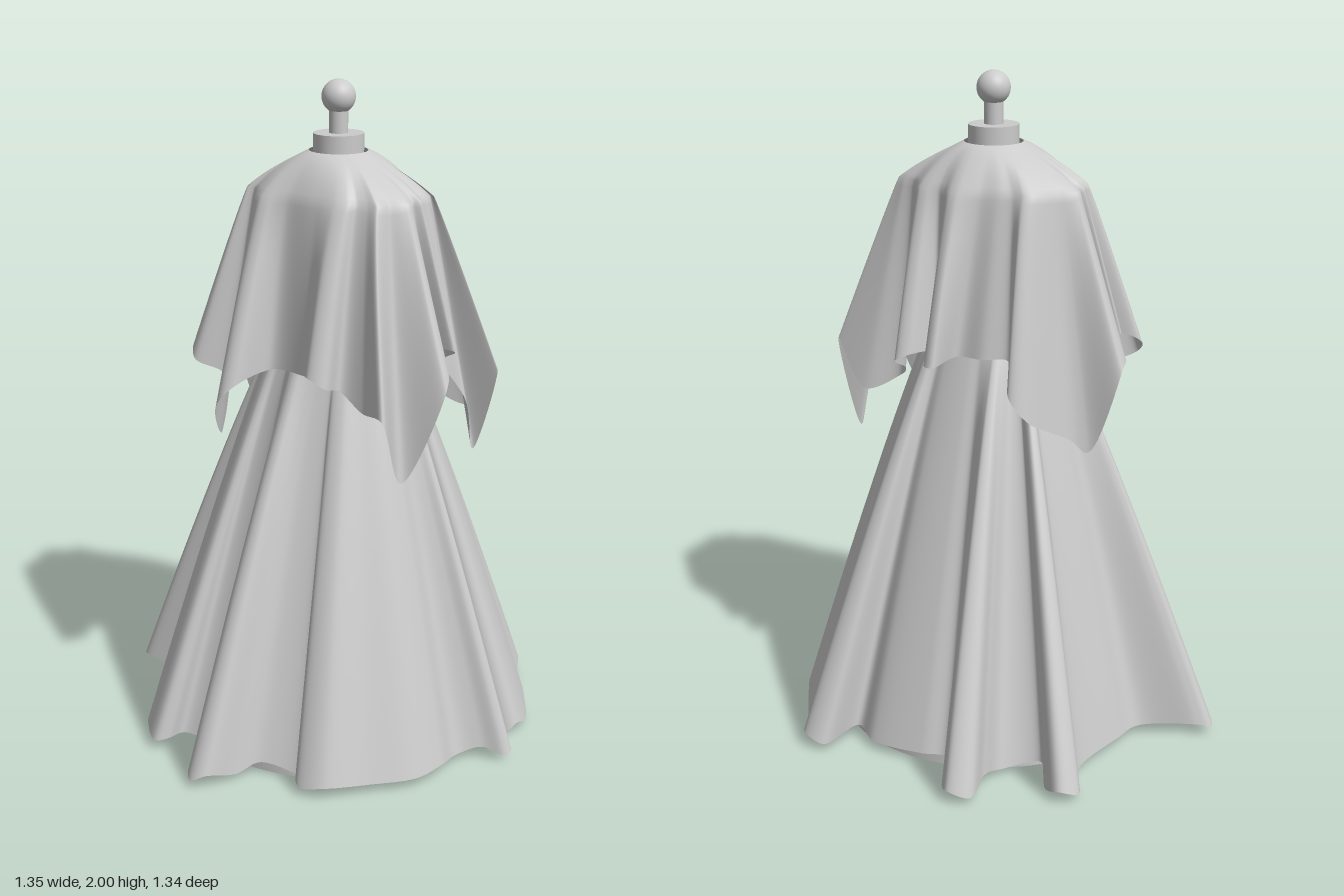
import * as THREE from 'three';

const CX = 0.035, CZ = -0.02; // axis of the stand
const { lerp } = THREE.MathUtils;
const mat = new THREE.MeshStandardMaterial({ color: 0xcccccc });
const cloth = new THREE.MeshStandardMaterial({ color: 0xcccccc, side: THREE.DoubleSide });

// Skirt hem as x, z pairs, running from the left side round the back
const SKIRT_HEM = [
  0.67, -0.055, 0.56, -0.1, 0.5, -0.13, 0.59, -0.16, 0.605, -0.19, 0.59, -0.27, 0.5, -0.4,
  0.4, -0.53, 0.34, -0.62, 0.27, -0.62, 0.235, -0.49, 0.15, -0.53, -0.02, -0.52, -0.1, -0.5,
  -0.17, -0.63, -0.215, -0.67, -0.275, -0.64, -0.26, -0.54, -0.265, -0.45, -0.36, -0.39,
  -0.43, -0.48, -0.49, -0.505, -0.53, -0.46, -0.47, -0.36, -0.475, -0.12, -0.49, -0.02,
  -0.65, 0.07, -0.68, 0.1, -0.645, 0.145, -0.54, 0.13, -0.44, 0.16, -0.48, 0.22,
  -0.475, 0.26, -0.4, 0.38, -0.31, 0.5, -0.23, 0.555, -0.2, 0.53, -0.185, 0.47,
  -0.045, 0.48, -0.03, 0.62, 0.01, 0.665, 0.055, 0.645, 0.09, 0.55, 0.13, 0.485,
  0.25, 0.445, 0.26, 0.48, 0.29, 0.505, 0.365, 0.485, 0.45, 0.375, 0.54, 0.26,
  0.56, 0.16, 0.55, 0.06, 0.6, 0.0, 0.665, -0.03,
];

// Cape hem as x, z, y triples in the same direction, with four hanging corners
const CAPE_HEM = [
  0.5, 0.085, 1.17, 0.47, 0.04, 1.22, 0.37, 0.03, 1.25, 0.36, -0.02, 1.25, 0.45, -0.03, 1.25,
  0.38, -0.07, 1.2, 0.42, -0.14, 1.07, 0.41, -0.2, 0.9, 0.49, -0.2, 1.17, 0.38, -0.22, 1.03,
  0.27, -0.18, 1.08, 0.21, -0.24, 1.13, 0.18, -0.335, 1.18, 0.14, -0.32, 1.2, 0.1, -0.24, 1.2,
  0.065, -0.27, 1.2, 0.06, -0.36, 1.19, 0.025, -0.37, 1.19, 0.01, -0.26, 1.2, -0.07, -0.25, 1.2,
  -0.14, -0.22, 1.2, -0.19, -0.3, 1.12, -0.24, -0.28, 1.05, -0.27, -0.2, 1.0, -0.3, -0.13, 0.96,
  -0.34, -0.1, 0.92, -0.43, -0.06, 1.18, -0.41, -0.01, 1.2, -0.29, 0, 1.25, -0.27, 0.04, 1.25,
  -0.36, 0.06, 1.25, -0.27, 0.1, 1.25, -0.365, 0.17, 1.2, -0.33, 0.22, 1.15, -0.25, 0.17, 1.1,
  -0.2, 0.25, 0.95, -0.12, 0.365, 1.08, -0.07, 0.34, 1.14, -0.03, 0.22, 1.17, 0.1, 0.24, 1.18,
  0.17, 0.305, 1.2, 0.22, 0.285, 1.17, 0.22, 0.22, 1.15, 0.3, 0.22, 1.1, 0.4, 0.26, 1.1,
  0.4, 0.16, 0.89,
];

function hemCurve(data, step) {
  const pts = [];
  for (let i = 0; i < data.length; i += step) {
    const y = step === 3 ? data[i + 2] : 0.03 + 0.012 * Math.sin(i * 1.7);
    pts.push(new THREE.Vector3(data[i], y, data[i + 1]));
  }
  const curve = new THREE.CatmullRomCurve3(pts, true, 'centripetal');
  curve.arcLengthDivisions = 3000;
  return curve;
}

// Cloth hung from a smooth ring to a folded hem; place(v, angle, hemPoint) gives each vertex
function drape(curve, U, V, place) {
  const hem = [], theta = [];
  for (let i = 0; i < U; i++) {
    const p = curve.getPointAt(i / U);
    let a = Math.atan2(-(p.z - CZ), p.x - CX);
    if (i) a += 2 * Math.PI * Math.round((theta[i - 1] - a) / (2 * Math.PI));
    hem.push(p);
    theta.push(a);
  }
  // Local averaging spreads the folds evenly round the upper ring
  const W = Math.round(U / 28);
  const angles = theta.map((_, i) => {
    let sum = 0;
    for (let k = -W; k <= W; k++) {
      const j = i + k, turn = Math.floor(j / U);
      sum += theta[j - turn * U] + turn * 2 * Math.PI;
    }
    return sum / (2 * W + 1);
  });
  const pos = [], idx = [];
  for (let v = 0; v <= V; v++)
    for (let i = 0; i < U; i++) {
      pos.push(...place(v / V, angles[i], hem[i]).toArray());
      if (v === V) continue;
      const a = v * U + i, b = v * U + (i + 1) % U;
      idx.push(a, a + U, b, b, a + U, b + U);
    }
  const g = new THREE.BufferGeometry();
  g.setAttribute('position', new THREE.Float32BufferAttribute(pos, 3));
  g.setIndex(idx);
  g.computeVertexNormals();
  return g;
}

// Point on an oval ring, with the front, back and side panels spread wide
function ring(angle, rx, rz, y) {
  const a = angle - 0.06 * Math.sin(2 * angle) + 0.07 * Math.sin(4 * angle);
  return new THREE.Vector3(CX + rx * Math.cos(a), y, CZ - rz * Math.sin(a));
}

const blend = (p, h, fx, fy, fz) =>
  new THREE.Vector3(lerp(p.x, h.x, fx), lerp(p.y, h.y, fy), lerp(p.z, h.z, fz));

export function createModel() {
  const group = new THREE.Group();
  const add = (name, geometry, material, x = 0, y = 0, z = 0) => {
    const m = new THREE.Mesh(geometry, material);
    m.name = name;
    m.position.set(x, y, z);
    group.add(m);
    return m;
  };

  // Stand
  add('base', new THREE.CylinderGeometry(0.485, 0.485, 0.03, 96), mat, CX, 0.015, CZ);
  add('pole', new THREE.CylinderGeometry(0.03, 0.03, 1.1, 24), mat, CX, 0.58, CZ);

  // Dress form body under the cloth
  const profile = [[0, 1.08], [0.13, 1.1], [0.15, 1.25], [0.19, 1.45], [0.2, 1.58],
    [0.16, 1.67], [0.09, 1.73], [0.07, 1.8]].map(([r, y]) => new THREE.Vector2(r, y));
  add('torso', new THREE.LatheGeometry(new THREE.SplineCurve(profile).getPoints(40), 48),
    mat, CX, 0, CZ).scale.z = 0.65;

  // Neck cap and finial
  add('collar', new THREE.CylinderGeometry(0.075, 0.075, 0.075, 48), mat, CX, 1.8075, CZ);
  add('neckPost', new THREE.CylinderGeometry(0.028, 0.028, 0.1, 32), mat, CX, 1.88, CZ);
  add('finial', new THREE.SphereGeometry(0.05, 40, 28), mat, CX, 1.95, CZ);

  // Skirt flaring from the waist to the hem
  add('skirt', drape(hemCurve(SKIRT_HEM, 2), 720, 36, (v, a, h) => {
    const f = Math.pow(v, 0.9);
    return blend(ring(a, 0.185, 0.14, 1.28), h, f, v, f);
  }), cloth);

  // Cape: sloping shoulders and rounded chest, then hanging folds
  const S = 0.3, START = 0.2;
  add('cape', drape(hemCurve(CAPE_HEM, 3), 720, 40, (v, a, h) => {
    const k = Math.min(v / S, 1), t = Math.max((v - S) / (1 - S), 0);
    const side = Math.cos(a) ** 2;
    const drop = lerp(0.15 * k + 0.85 * k * k, 0.8 * k + 0.2 * k ** 3, side);
    const p = ring(a, lerp(0.088, 0.255, k), lerp(0.085, 0.17, k), 1.795 - 0.12 * drop);
    const f0 = START * k * k;
    return blend(p, h, lerp(f0, 1, t), t, lerp(f0, 1, Math.pow(t, 0.85)));
  }), cloth);

  return group;
}
